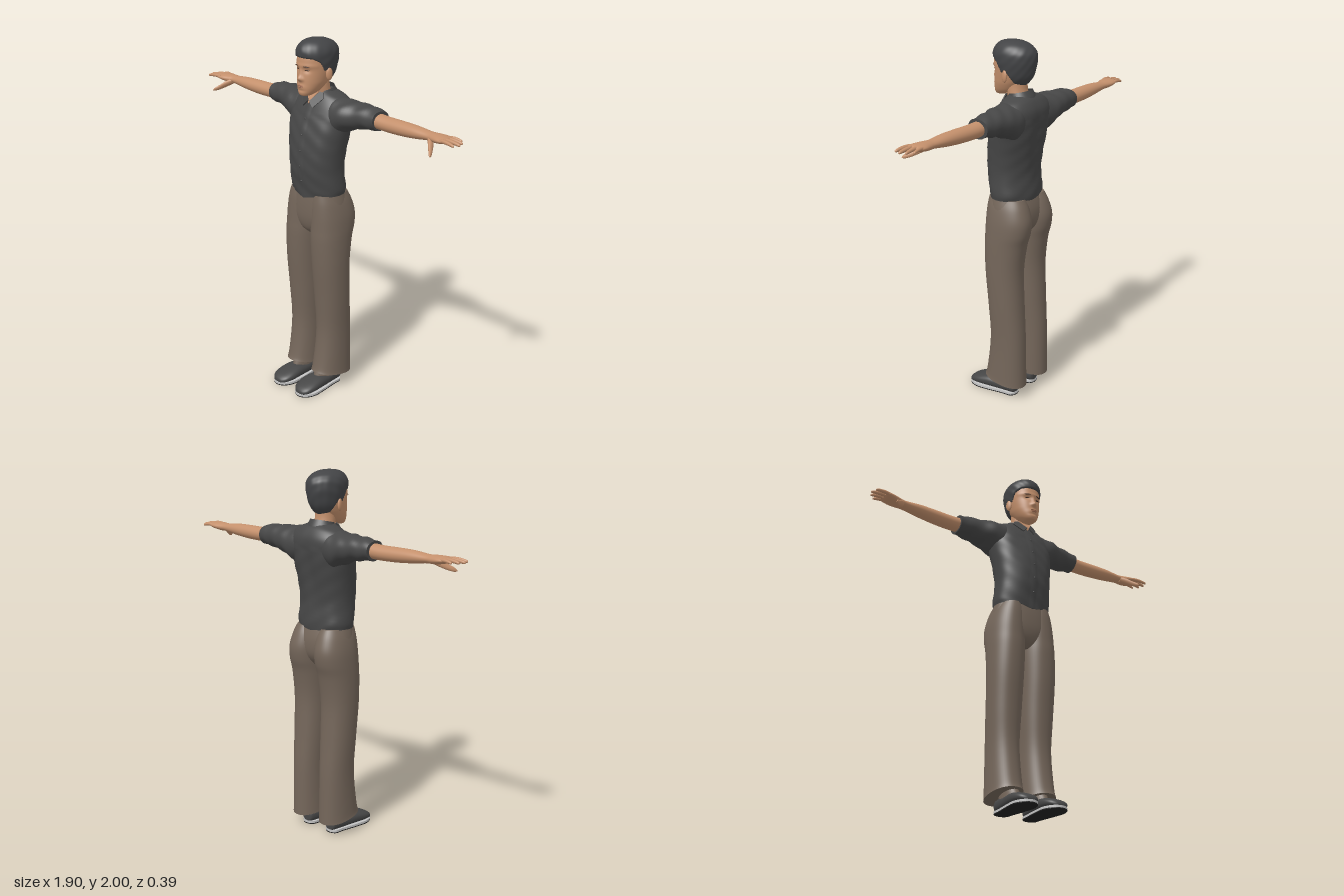
import * as THREE from 'three';

const mat = (name, color) => Object.assign(new THREE.MeshStandardMaterial({ color }), { name });
const lerpTable = (table, v) => {
  for (let i = 1; i < table.length; i++) {
    if (v <= table[i][0]) {
      const [a, p] = table[i - 1], [b, q] = table[i];
      return p + (q - p) * (v - a) / (b - a);
    }
  }
  return table[table.length - 1][1];
};
const catmull = (a, b, c, d, t) =>
  0.5 * (2 * b + (c - a) * t + (2 * a - 5 * b + 4 * c - d) * t * t + (3 * b - a - 3 * c + d) * t * t * t);
const bump = (d, w) => Math.exp(-(d * d) / (w * w));

// Smooth loft through rings [t, a0, a1, b0, b1]; axis tells which direction t runs along.
function loft(rings, { axis = 'y', segs = 40, sub = 5, power = 1, side = 1, caps = true, deform } = {}) {
  const pos = [], idx = [], v = new THREE.Vector3();
  const rows = (rings.length - 1) * sub + 1;
  const at = (i) => rings[Math.min(Math.max(i, 0), rings.length - 1)];
  const put = (t, a, b) => {
    if (axis === 'y') v.set(a, t, b); else if (axis === 'x') v.set(t, a, b); else v.set(a, b, t);
    if (deform) deform(v);
    pos.push(v.x * side, v.y, v.z);
  };
  const soft = (c) => Math.sign(c) * Math.pow(Math.abs(c), power);
  for (let j = 0; j < rows; j++) {
    const k = Math.min(Math.floor(j / sub), rings.length - 2), f = j / sub - k;
    const [t, a0, a1, b0, b1] = at(k).map((_, n) => catmull(at(k - 1)[n], at(k)[n], at(k + 1)[n], at(k + 2)[n], f));
    for (let i = 0; i < segs; i++) {
      const g = (i / segs) * Math.PI * 2;
      put(t, (a0 + a1) / 2 + soft(Math.cos(g)) * (a1 - a0) / 2, (b0 + b1) / 2 + soft(Math.sin(g)) * (b1 - b0) / 2);
    }
  }
  for (let j = 0; j < rows - 1; j++) for (let i = 0; i < segs; i++) {
    const a = j * segs + i, b = j * segs + (i + 1) % segs;
    idx.push(a, b, b + segs, a, b + segs, a + segs);
  }
  if (caps) for (const [row, up] of [[0, false], [rows - 1, true]]) {
    const start = pos.length / 3, c = [0, 0, 0];
    for (let i = 0; i < segs; i++) for (let n = 0; n < 3; n++) {
      const q = pos[(row * segs + i) * 3 + n];
      pos.push(q); c[n] += q / segs;
    }
    pos.push(...c);
    for (let i = 0; i < segs; i++) {
      const a = start + i, b = start + (i + 1) % segs;
      idx.push(...(up ? [a, b, start + segs] : [b, a, start + segs]));
    }
  }
  // Turn faces outward
  let vol = 0;
  const P = (i) => new THREE.Vector3().fromArray(pos, i * 3);
  for (let i = 0; i < idx.length; i += 3) vol += P(idx[i]).dot(P(idx[i + 1]).cross(P(idx[i + 2])));
  if (vol < 0) idx.reverse();
  const g = new THREE.BufferGeometry();
  g.setAttribute('position', new THREE.Float32BufferAttribute(pos, 3));
  g.setIndex(idx);
  g.computeVertexNormals();
  return g;
}
const sym = (rows) => rows.map(([y, w, z0, z1]) => [y, -w, w, z0, z1]);

export function createModel() {
  const M = {
    skin: mat('skin', 0xc4906c), lips: mat('lips', 0xa36e54), hair: mat('hair', 0x434446),
    eye: mat('brow and lash', 0x4a3428), shirt: mat('shirt', 0x474747), trousers: mat('trousers', 0x74665a),
    shoe: mat('shoe', 0x464646), rim: mat('sole rim', 0xc4c4c4), sole: mat('sole', 0x222222),
  };
  M.shirt.side = THREE.DoubleSide;
  const root = new THREE.Group();
  root.name = 'standingMan';
  const add = (name, geo, m) => {
    const mesh = new THREE.Mesh(geo, m);
    mesh.name = name;
    root.add(mesh);
    return mesh;
  };
  const blob = (name, m, p, s, ry = 0, rz = 0) => {
    const e = add(name, new THREE.SphereGeometry(1, 16, 12), m);
    e.position.set(...p); e.scale.set(...s); e.rotation.set(0, ry, rz);
  };

  // Shirt body with a raised button strip, soft folds and an uneven hem
  add('shirtBody', loft(sym([
    [1.155, 0.163, -0.153, 0.07], [1.2, 0.168, -0.157, 0.077], [1.3, 0.162, -0.15, 0.092], [1.4, 0.17, -0.16, 0.092],
    [1.5, 0.185, -0.177, 0.077], [1.58, 0.197, -0.187, 0.053], [1.645, 0.193, -0.187, 0.026],
    [1.69, 0.15, -0.167, 0.002], [1.715, 0.09, -0.143, -0.012], [1.725, 0.06, -0.125, -0.02]]), {
    segs: 96, power: 0.9, deform: (v) => {
      if (v.y < 1.6) v.z += 0.003 * Math.sin(v.x * 45 + v.y * 30) * Math.sin(v.y * 38);
      if (v.z > 0 && Math.abs(v.x) < 0.014) v.z += 0.004;
      if (v.z < -0.1) v.z += 0.008 * bump(v.x, 0.035) * bump(v.y - 1.5, 0.13);
      v.y += bump(v.y - 1.155, 0.03) * (0.012 * Math.sin(Math.abs(v.x) * 9) - 0.012 * bump(v.x, 0.06));
    } }), M.shirt);
  for (let i = 0; i < 5; i++) blob('button', M.shirt, [0, 1.24 + i * 0.085, lerpTable([[1.2, 0.081], [1.3, 0.096], [1.4, 0.096], [1.5, 0.081], [1.58, 0.057]], 1.24 + i * 0.085)], [0.006, 0.006, 0.003]);

  // Collar and open neckline
  add('collarBand', loft(sym([[1.67, 0.1, -0.158, 0.012], [1.7, 0.083, -0.146, 0.002], [1.735, 0.068, -0.128, -0.01]]),
    { caps: false, deform: (v) => { v.y -= 0.22 * (v.z + 0.075); } }), M.shirt);
  const opening = new THREE.Shape([[-0.04, 0.04], [0, -0.032], [0.04, 0.04]].map((p) => new THREE.Vector2(...p)));
  const vee = add('neckOpening', new THREE.ExtrudeGeometry(opening, { depth: 0.005, bevelEnabled: false }), M.skin);
  vee.position.set(0, 1.685, 0.014); vee.rotation.x = -0.5;

  // Neck
  add('neck', loft(sym([[1.63, 0.075, -0.13, -0.01], [1.69, 0.06, -0.112, -0.004], [1.75, 0.056, -0.1, 0.01], [1.8, 0.055, -0.1, 0.01]])), M.skin);

  // Head with nose, brow, lips and eye sockets raised or sunk by rule
  add('head', loft(sym([
    [1.706, 0.012, 0.04, 0.07], [1.712, 0.032, 0.01, 0.084], [1.735, 0.053, -0.045, 0.091], [1.77, 0.07, -0.08, 0.088],
    [1.8, 0.078, -0.105, 0.087], [1.84, 0.085, -0.125, 0.084], [1.88, 0.088, -0.135, 0.086], [1.92, 0.086, -0.135, 0.079],
    [1.96, 0.07, -0.115, 0.055], [1.983, 0.035, -0.07, 0.015], [1.988, 0.004, -0.03, -0.02]]), {
    segs: 96, sub: 8, power: 0.95, deform: (v) => {
      if (v.z < 0.03) return;
      const ax = Math.abs(v.x);
      v.z += 0.017 * bump(v.x, 0.013) * bump(v.y - 1.802, 0.015) + 0.009 * bump(v.x, 0.01) * bump(v.y - 1.83, 0.025)
        + 0.005 * bump(ax - 0.014, 0.008) * bump(v.y - 1.797, 0.009)
        - 0.007 * bump(ax - 0.034, 0.018) * bump(v.y - 1.845, 0.013) + 0.003 * bump(v.y - 1.868, 0.01)
        + 0.004 * bump(v.x, 0.024) * bump(v.y - 1.76, 0.012) - 0.004 * bump(v.x, 0.03) * bump(v.y - 1.738, 0.008);
    } }), M.skin);
  blob('upperLip', M.lips, [0, 1.764, 0.09], [0.022, 0.004, 0.005]);
  blob('lowerLip', M.lips, [0, 1.756, 0.09], [0.018, 0.005, 0.005]);

  // Hair cap that sinks under the skin below the hairline
  const hairline = [[0, 1.908], [0.6, 1.905], [1.0, 1.885], [1.25, 1.835], [1.6, 1.845], [2.1, 1.785], [3.15, 1.765]];
  add('hair', loft(sym([
    [1.745, 0.045, -0.06, 0.05], [1.765, 0.062, -0.092, 0.075], [1.79, 0.074, -0.118, 0.08], [1.82, 0.085, -0.138, 0.08],
    [1.86, 0.094, -0.15, 0.084], [1.9, 0.099, -0.156, 0.09], [1.94, 0.097, -0.153, 0.091], [1.972, 0.079, -0.127, 0.073],
    [1.993, 0.046, -0.08, 0.038], [2.0, 0.004, -0.03, -0.02]]), {
    segs: 96, sub: 8, deform: (v) => {
      const phi = Math.atan2(Math.abs(v.x), v.z + 0.03);
      const grow = THREE.MathUtils.smoothstep(v.y - lerpTable(hairline, phi), -0.008, 0.006);
      const s = 0.8 + 0.2 * grow + 0.012 * grow * Math.sin(v.x * 110 + v.y * 60) * Math.sin(v.z * 80 + v.y * 50);
      v.x *= s; v.z = -0.03 + (v.z + 0.03) * s;
    } }), M.hair);

  // Hips joining the two trouser legs
  add('hips', loft(sym([[0.925, 0.02, -0.06, 0.02], [0.96, 0.1, -0.12, 0.052], [1.02, 0.175, -0.162, 0.068],
    [1.1, 0.177, -0.168, 0.07], [1.18, 0.16, -0.148, 0.064]]), { segs: 64, power: 0.9 }), M.trousers);

  for (const side of [1, -1]) {
    const s = side > 0 ? 'left' : 'right';

    // Face details and ear
    blob(s + 'Eyebrow', M.eye, [side * 0.035, 1.865, 0.08], [0.019, 0.0032, 0.004], side * 0.35, side * -0.05);
    blob(s + 'Eyelash', M.eye, [side * 0.034, 1.846, 0.0725], [0.014, 0.003, 0.004], side * 0.3);
    blob(s + 'Ear', M.skin, [side * 0.092, 1.822, -0.03], [0.01, 0.033, 0.019], side * -0.35);

    // Collar leaf
    const leaf = new THREE.Shape([[0.004, -0.022], [0.036, -0.052], [0.078, 0.012], [0.066, 0.04], [0.045, 0.042]]
      .map(([x, y]) => new THREE.Vector2(x * side, y)));
    const flap = add(s + 'CollarLeaf', new THREE.ExtrudeGeometry(leaf, { depth: 0.006, bevelEnabled: false }), M.shirt);
    flap.position.set(0, 1.69, 0.019); flap.rotation.set(-0.5, side * 0.3, 0);

    // Sleeve
    add(s + 'Sleeve', loft([[0.06, 1.53, 1.7, -0.165, -0.01], [0.13, 1.5, 1.697, -0.18, 0.015], [0.2, 1.53, 1.69, -0.182, 0.015],
      [0.27, 1.555, 1.688, -0.174, -0.015], [0.34, 1.565, 1.684, -0.166, -0.03], [0.4, 1.573, 1.675, -0.158, -0.037]], {
      axis: 'x', segs: 48, side, power: 0.95,
      deform: (v) => { v.y += 0.003 * Math.sin(v.x * 70 + v.z * 40); } }), M.shirt);

    // Arm and palm in one piece
    add(s + 'Arm', loft([[0.36, 1.583, 1.663, -0.14, -0.05], [0.45, 1.58, 1.657, -0.139, -0.05], [0.55, 1.582, 1.657, -0.135, -0.049],
      [0.65, 1.59, 1.655, -0.13, -0.05], [0.74, 1.602, 1.647, -0.123, -0.056], [0.78, 1.602, 1.648, -0.126, -0.048],
      [0.82, 1.607, 1.648, -0.132, -0.036], [0.855, 1.615, 1.645, -0.128, -0.034], [0.87, 1.625, 1.638, -0.115, -0.045]],
      { axis: 'x', side }), M.skin);

    // Fingers: [tip x, base z, tip z, radius]
    [[0.912, -0.119, -0.127, 0.0085], [0.938, -0.095, -0.1, 0.0095], [0.95, -0.07, -0.069, 0.01], [0.938, -0.046, -0.036, 0.0095]]
      .forEach(([tip, z0, z1, r], i) => {
        const ring = (f, k) => {
          const z = z0 + (z1 - z0) * f, y = 1.632 + 0.004 * Math.sin(f * Math.PI) - 0.006 * f;
          return [0.84 + (tip - 0.84) * f, y - r * k, y + r * k, z - r * k, z + r * k];
        };
        add(s + 'Finger' + (i + 1), loft([ring(0, 1.05), ring(0.4, 1.05), ring(0.75, 0.92), ring(0.94, 0.7), ring(1, 0.1)],
          { axis: 'x', segs: 14, sub: 4, side }), M.skin);
      });
    add(s + 'Thumb', loft([[0.755, 1.602, 1.635, -0.095, -0.055], [0.785, 1.583, 1.618, -0.068, -0.026],
      [0.81, 1.567, 1.594, -0.034, -0.002], [0.828, 1.559, 1.579, -0.008, 0.015], [0.836, 1.56, 1.566, 0.01, 0.018]],
      { axis: 'x', segs: 18, side }), M.skin);

    // Trouser leg
    add(s + 'TrouserLeg', loft([[0.092, 0.014, 0.19, -0.17, 0.078], [0.14, 0.016, 0.187, -0.169, 0.066], [0.35, 0.02, 0.184, -0.165, 0.04],
      [0.55, 0.013, 0.192, -0.153, 0.05], [0.75, 0.008, 0.197, -0.146, 0.068], [0.9, 0.001, 0.197, -0.165, 0.075],
      [0.98, -0.001, 0.195, -0.188, 0.073], [1.05, 0, 0.189, -0.194, 0.071], [1.12, 0.006, 0.174, -0.175, 0.067], [1.17, 0.02, 0.155, -0.15, 0.06]], {
      segs: 48, power: 0.92, side,
      deform: (v) => { v.y += 0.17 * (v.z + 0.03) * bump(v.y - 0.092, 0.06); } }), M.trousers);

    // Sock, shoe and two-layer sole
    add(s + 'Sock', loft([[0.04, 0.045, 0.132, -0.09, 0.075], [0.09, 0.048, 0.13, -0.088, 0.062], [0.18, 0.05, 0.128, -0.085, 0.02]], { side }), M.trousers);
    add(s + 'Shoe', loft([[-0.11, 0.07, 0.108, 0.02, 0.055], [-0.1, 0.053, 0.125, 0.012, 0.08], [-0.05, 0.043, 0.133, 0.01, 0.085],
      [0, 0.036, 0.14, 0.01, 0.08], [0.06, 0.029, 0.149, 0.01, 0.082], [0.12, 0.025, 0.154, 0.01, 0.07],
      [0.165, 0.036, 0.146, 0.01, 0.054], [0.188, 0.058, 0.125, 0.01, 0.038], [0.195, 0.08, 0.102, 0.013, 0.025]],
      { axis: 'z', power: 0.85, side }), M.shoe);
    const outline = new THREE.CatmullRomCurve3([[0.09, 0.112], [0.054, 0.098], [0.042, 0.04], [0.028, -0.06], [0.025, -0.13], [0.05, -0.183],
      [0.09, -0.2], [0.132, -0.183], [0.155, -0.13], [0.15, -0.06], [0.134, 0.04], [0.126, 0.098]]
      .map(([x, y]) => new THREE.Vector3(x * side, y, 0)), true).getPoints(60);
    const soleShape = new THREE.Shape(outline.map((p) => new THREE.Vector2(p.x, p.y)));
    for (const [name, m, y, depth] of [['SoleRim', M.rim, 0.005, 0.012], ['Sole', M.sole, 0, 0.005]]) {
      const layer = new THREE.ExtrudeGeometry(soleShape, { depth, bevelEnabled: false }).rotateX(-Math.PI / 2);
      add(s + name, layer.translate(0, y, 0), m);
    }
  }
  return root;
}
